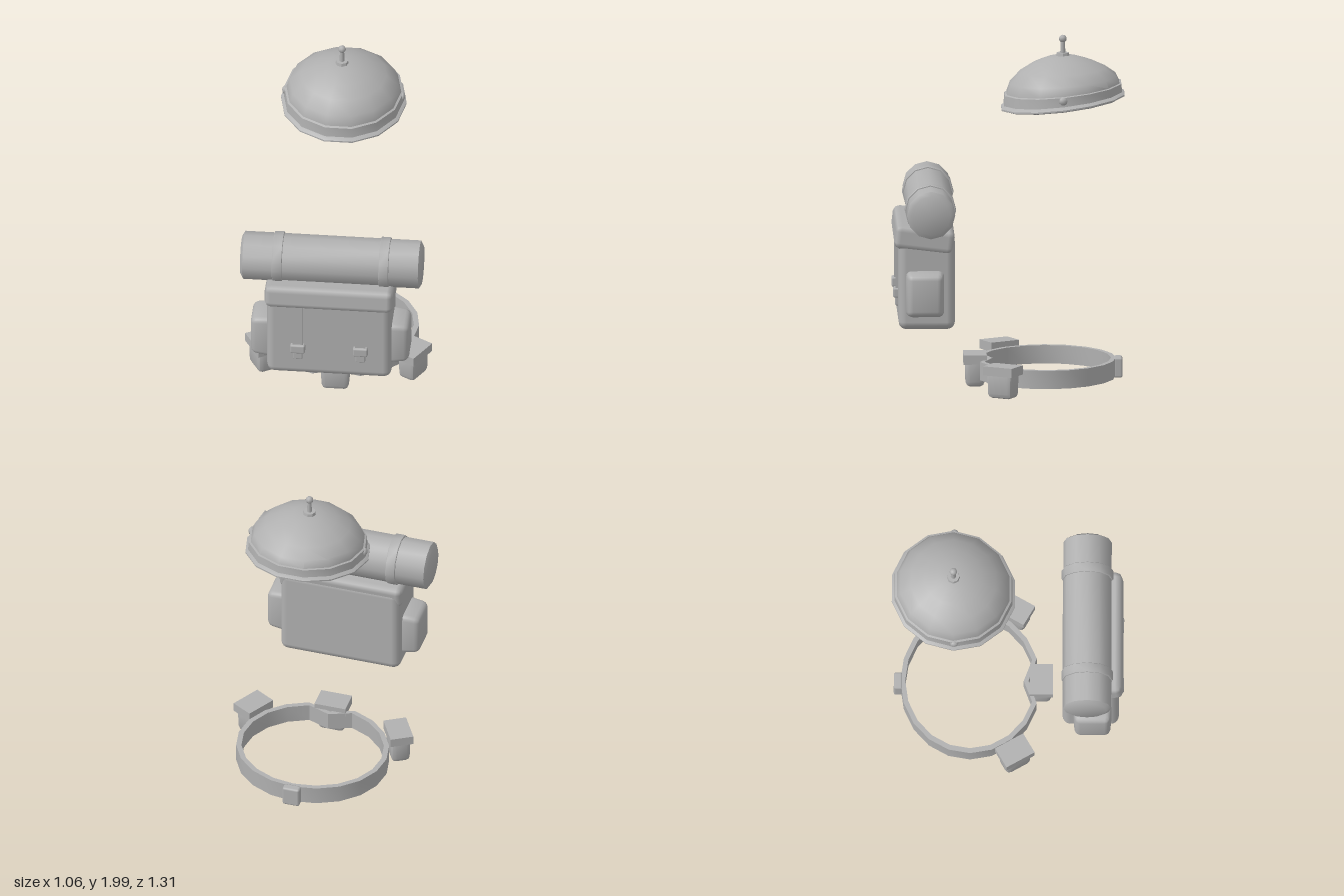
import * as THREE from 'three';
import { toCreasedNormals } from 'three/addons/utils/BufferGeometryUtils.js';
import { RoundedBoxGeometry } from 'three/addons/geometries/RoundedBoxGeometry.js';

const V = (pts) => pts.map(([x, y]) => new THREE.Vector2(x, y));

export function createModel() {
  const root = new THREE.Group();
  const grey = new THREE.MeshStandardMaterial({ color: 0xb0b0b0 });
  grey.name = 'plain grey';

  const add = (parent, name, geo, x = 0, y = 0, z = 0) => {
    const mesh = new THREE.Mesh(geo, grey);
    mesh.name = name;
    mesh.position.set(x, y, z);
    parent.add(mesh);
    return mesh;
  };
  const group = (name, x = 0, y = 0, z = 0) => {
    const g = new THREE.Group();
    g.name = name;
    g.position.set(x, y, z);
    root.add(g);
    return g;
  };
  // Move every vertex of a geometry by a rule
  const warp = (geo, rule) => {
    const p = geo.attributes.position, v = new THREE.Vector3();
    for (let i = 0; i < p.count; i++) {
      rule(v.fromBufferAttribute(p, i));
      p.setXYZ(i, v.x, v.y, v.z);
    }
    geo.computeVertexNormals();
    return geo;
  };
  const soft = (w, h, d, r, seg = 2) => new RoundedBoxGeometry(w, h, d, seg, r);

  // Helmet: hollow faceted dome whose rim slopes up to the back
  const helmet = group('helmet', 0, 1.617, -0.305);
  const slope = (v) => { v.y -= 0.118 * v.z * (1 - Math.max(0, Math.min(1, (v.y - 0.05) / 0.24))); };
  const turned = (profile) => toCreasedNormals(
    warp(new THREE.LatheGeometry(V(profile), 14).rotateY(Math.PI / 2), slope), 0.62);
  add(helmet, 'helmetShell', turned([
    [0, 0.25], [0.14, 0.23], [0.23, 0.17], [0.285, 0.10], [0.30, 0.05], [0.325, 0.006],
    [0.342, 0], [0.355, 0.006], [0.355, 0.014], [0.334, 0.028], [0.325, 0.03], [0.325, 0.085],
    [0.305, 0.135], [0.243, 0.19], [0.165, 0.233], [0.088, 0.26], [0, 0.268]]));
  add(helmet, 'helmetBand', turned([
    [0.32, 0.028], [0.340, 0.030], [0.336, 0.082], [0.322, 0.087]]));
  for (const s of [-1, 1])
    add(helmet, 'helmetRivet', new THREE.SphereGeometry(0.024, 8, 6).scale(0.7, 1, 1), s * 0.332, 0.061, 0.005);

  // Knob on the crown
  add(helmet, 'knobBase', toCreasedNormals(new THREE.CylinderGeometry(0.034, 0.038, 0.022, 8), 0.5), -0.01, 0.271, 0);
  add(helmet, 'knobStem', new THREE.CylinderGeometry(0.011, 0.015, 0.085, 8), -0.01, 0.32, 0);
  add(helmet, 'knobBall', new THREE.SphereGeometry(0.022, 8, 6), -0.01, 0.361, 0);

  // Bedroll lying across the pack
  const roll = group('bedroll', 0.005, 1.061, 0.448);
  const tube = (half, r, inset, bevel) => toCreasedNormals(new THREE.LatheGeometry(V([
    [0, -half], [r - inset, -half], [r, -half + bevel],
    [r, half - bevel], [r - inset, half], [0, half]]), 12).rotateZ(Math.PI / 2), 0.6);
  add(roll, 'rolledBlanket', tube(0.511, 0.136, 0.026, 0.015)).rotation.x = Math.PI / 2;
  for (const s of [-1, 1])
    add(roll, 'bedrollStrap', tube(0.028, 0.145, 0.003, 0.003), s * 0.301).rotation.x = Math.PI / 2;

  // Backpack
  const pack = group('backpack');
  add(pack, 'packBody', soft(0.703, 0.54, 0.317, 0.045), 0.002, 0.649, 0.468);
  add(pack, 'packFlap', soft(0.725, 0.135, 0.335, 0.035, 1), 0.002, 0.893, 0.481).rotation.x = -0.12;
  for (const x of [-0.172, 0.182]) {
    add(pack, 'packStrap', new THREE.BoxGeometry(0.058, 0.275, 0.025), x, 0.72, 0.628);
    add(pack, 'packBuckle', soft(0.084, 0.055, 0.04, 0.01, 1), x, 0.57, 0.635);
    add(pack, 'strapTip', soft(0.054, 0.05, 0.025, 0.006, 1), x, 0.522, 0.63);
  }
  // Side pockets, narrower on the outer face
  for (const s of [-1, 1]) {
    const pocket = warp(soft(0.13, 0.26, 0.215, 0.03), (v) => {
      const k = 1 - 0.12 * Math.max(0, s * v.x / 0.065);
      v.y *= k;
      v.z *= k;
    });
    add(pack, 'sidePocket', toCreasedNormals(pocket, 0.7), 0.002 + s * 0.382, 0.588, 0.478);
  }

  // Belt: oval loop with its ends folded inward at the front
  const belt = group('belt', 0, 0.107, -0.21);
  const loop = new THREE.LatheGeometry(V([
    [0.404, -0.052], [0.434, -0.052], [0.434, 0.052], [0.404, 0.052], [0.404, -0.052]]), 20);
  add(belt, 'beltLoop', toCreasedNormals(warp(loop, (v) => {
    v.z *= 0.905;
    if (Math.abs(v.x) < 0.01 && v.z > 0) v.z -= 0.065;
  }), 0.5));
  add(belt, 'beltBuckle', soft(0.1, 0.115, 0.05, 0.012, 1), 0, 0, -0.405);

  // Three belt pouches with flat lids
  for (const [x, z, turn] of [[0, 0.19, 0], [-0.427, 0.042, -Math.PI / 3], [0.425, 0.042, Math.PI / 3]]) {
    const pouch = group('beltPouch', x, 0, z);
    pouch.rotation.y = turn;
    add(pouch, 'pouchLid', new THREE.BoxGeometry(0.182, 0.052, 0.131), 0, 0.162, 0);
    const bag = warp(soft(0.162, 0.165, 0.112, 0.025, 1), (v) => {
      const k = 0.93 + 0.07 * Math.min(1, (v.y + 0.0825) / 0.09);
      v.x *= k;
      v.z *= k;
    });
    add(pouch, 'pouchBag', toCreasedNormals(bag, 0.5), 0, 0.0885, 0);
  }
  return root;
}
